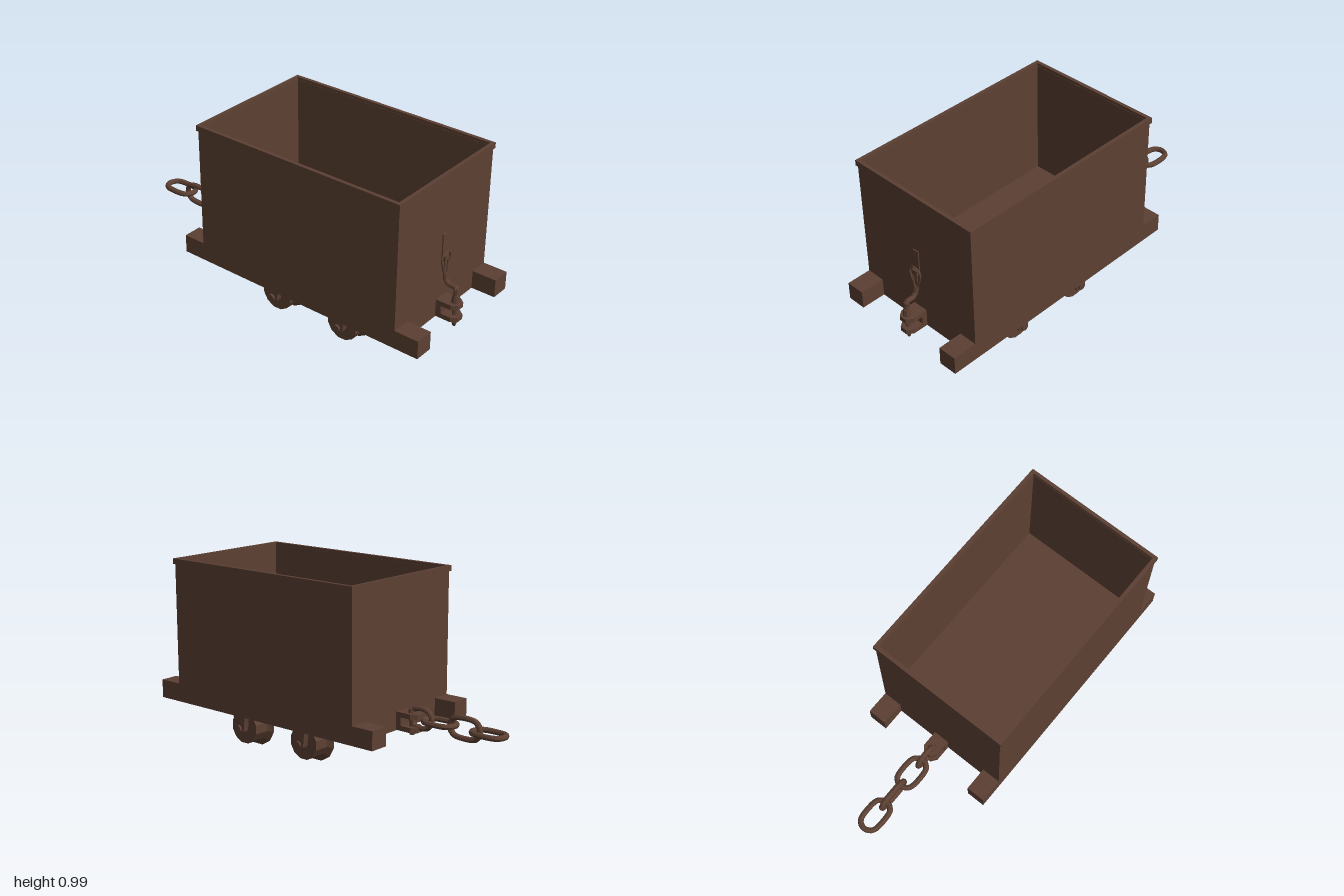
import * as THREE from 'three';

const brown = new THREE.MeshStandardMaterial({ color: 0x5c4033, flatShading: true });

function add(parent, name, geometry, x = 0, y = 0, z = 0) {
  const mesh = new THREE.Mesh(geometry, brown);
  mesh.name = name;
  mesh.position.set(x, y, z);
  parent.add(mesh);
  return mesh;
}

// Box given by its limits on each axis
function block(parent, name, x0, x1, y0, y1, z0, z1) {
  return add(parent, name, new THREE.BoxGeometry(x1 - x0, y1 - y0, z1 - z0),
    (x0 + x1) / 2, (y0 + y1) / 2, (z0 + z1) / 2);
}

function rectPath(path, x0, x1, z0, z1) {
  path.moveTo(x0, z0);
  path.lineTo(x1, z0);
  path.lineTo(x1, z1);
  path.lineTo(x0, z1);
  path.closePath();
  return path;
}

// Open rectangular frame, extruded upwards from y0 to y1
function hollow(parent, name, outer, inner, y0, y1) {
  const shape = rectPath(new THREE.Shape(), ...outer);
  shape.holes.push(rectPath(new THREE.Path(), ...inner));
  const geo = new THREE.ExtrudeGeometry(shape, { depth: y1 - y0, bevelEnabled: false });
  geo.rotateX(-Math.PI / 2);
  return add(parent, name, geo, 0, y0, 0);
}

// Chain link lying along x in the xy plane; ends may have different radii
function linkGeometry(length, rA, rB, wire) {
  const points = [];
  const ends = [[length / 2 - rA, rA, -Math.PI / 2], [-(length / 2 - rB), rB, Math.PI / 2]];
  for (const [cx, r, start] of ends) {
    for (let i = 0; i <= 6; i++) {
      const a = start + (i / 6) * Math.PI;
      points.push(new THREE.Vector3(cx + r * Math.cos(a), r * Math.sin(a), 0));
    }
  }
  return new THREE.TubeGeometry(new THREE.CatmullRomCurve3(points, true), 36, wire, 8, true);
}

function rod(parent, name, points, radius) {
  const curve = new THREE.CurvePath();
  const v = points.map(p => new THREE.Vector3(...p));
  for (let i = 1; i < v.length; i++) curve.add(new THREE.LineCurve3(v[i - 1], v[i]));
  return add(parent, name, new THREE.TubeGeometry(curve, (v.length - 1) * 5, radius, 8, false));
}

// Two chamfered jaws with a backing plate, pointing along +x from the origin
function makeClevis(length) {
  const clevis = new THREE.Group();
  const jaw = new THREE.Shape([[0, -0.043], [length - 0.03, -0.043], [length, -0.02],
    [length, 0.02], [length - 0.03, 0.043], [0, 0.043]].map(p => new THREE.Vector2(...p)));
  for (const y of [0.218, 0.288]) {
    const geo = new THREE.ExtrudeGeometry(jaw, { depth: 0.026, bevelEnabled: false });
    geo.rotateX(-Math.PI / 2);
    add(clevis, 'clevisJaw', geo, 0, y, 0);
  }
  block(clevis, 'clevisBack', 0, 0.03, 0.22, 0.31, -0.043, 0.043);
  return clevis;
}

function makeWheelSet() {
  const set = new THREE.Group();
  set.name = 'wheelSet';
  add(set, 'axle', new THREE.CylinderGeometry(0.02, 0.02, 0.665, 10).rotateX(Math.PI / 2));

  // Flange on the inner side, tread outside it
  const profile = [[0, 0.176], [0.119, 0.176], [0.119, 0.18], [0.092, 0.199], [0.09, 0.282], [0, 0.282]]
    .map(p => new THREE.Vector2(...p));
  const hanger = new THREE.Shape();
  hanger.moveTo(-0.045, 0.1);
  hanger.lineTo(-0.033, 0);
  hanger.absarc(0, 0, 0.033, Math.PI, Math.PI * 2, false);
  hanger.lineTo(0.045, 0.1);
  hanger.closePath();
  for (const side of [1, -1]) {
    const half = new THREE.Group();
    half.rotation.y = side > 0 ? 0 : Math.PI;
    add(half, 'wheel', new THREE.LatheGeometry(profile, 12).rotateX(Math.PI / 2).rotateZ(Math.PI / 12));
    add(half, 'axleHanger', new THREE.ExtrudeGeometry(hanger, { depth: 0.033, bevelEnabled: false, curveSegments: 6 }), 0, 0, 0.287);
    set.add(half);
  }
  return set;
}

export function createModel() {
  const cart = new THREE.Group();
  cart.name = 'mineCart';

  // Open tub with rim
  hollow(cart, 'tubWalls', [-0.362, 0.865, -0.385, 0.385], [-0.348, 0.851, -0.371, 0.371], 0.312, 0.985);
  block(cart, 'tubFloor', -0.355, 0.858, 0.313, 0.33, -0.378, 0.378);
  hollow(cart, 'tubRim', [-0.37, 0.872, -0.393, 0.393], [-0.35, 0.853, -0.373, 0.373], 0.97, 1.0);

  // Chassis
  for (const s of [1, -1]) {
    const z = [0.282 * s, 0.385 * s].sort((a, b) => a - b);
    block(cart, 'sideBeam', -0.49, 1.0, 0.215, 0.315, ...z);
  }
  block(cart, 'crossBeam', -0.362, -0.22, 0.215, 0.314, -0.283, 0.283);
  block(cart, 'crossBeam', 0.723, 0.865, 0.215, 0.314, -0.283, 0.283);

  // Wheels
  for (const x of [0.05, 0.475]) {
    const set = makeWheelSet();
    set.position.set(x, 0.122, 0);
    cart.add(set);
  }

  // Rear coupling with towing chain
  const rear = makeClevis(0.12);
  rear.name = 'rearClevis';
  rear.rotation.y = Math.PI;
  rear.position.x = -0.362;
  cart.add(rear);
  add(cart, 'rearPin', new THREE.CylinderGeometry(0.015, 0.015, 0.13, 8), -0.435, 0.265, 0);
  add(cart, 'rearPinHead', new THREE.CylinderGeometry(0.018, 0.024, 0.02, 8), -0.435, 0.324, 0);

  const chain = new THREE.Group();
  chain.name = 'towChain';
  cart.add(chain);
  [-0.895, -0.755, -0.605].forEach((x, i) => {
    const link = add(chain, 'chainLink', linkGeometry(0.178, 0.05, 0.05, 0.015), x, 0.292, 0);
    link.rotation.x = i % 2 ? 0 : Math.PI / 2;
  });
  add(chain, 'shackle', linkGeometry(0.13, 0.05, 0.05, 0.014), -0.49, 0.292, 0);

  // Front coupling with bent drop pin
  const front = makeClevis(0.117);
  front.name = 'frontClevis';
  front.position.x = 0.865;
  cart.add(front);
  add(cart, 'frontPin', new THREE.CylinderGeometry(0.014, 0.014, 0.2, 8), 0.95, 0.295, 0);
  add(cart, 'frontPinTip', new THREE.CylinderGeometry(0.014, 0.007, 0.02, 8), 0.95, 0.185, 0);
  rod(cart, 'pinHandle', [[0.95, 0.38, 0], [0.948, 0.397, 0], [0.905, 0.398, 0], [0.886, 0.42, 0], [0.882, 0.46, 0]], 0.013);
  add(cart, 'pinCollar', new THREE.CylinderGeometry(0.018, 0.022, 0.04, 8), 0.95, 0.333, 0);
  add(cart, 'handleEye', new THREE.TorusGeometry(0.013, 0.006, 6, 12).rotateY(Math.PI / 2), 0.95, 0.386, 0);

  // Strap and teardrop ring on the front wall
  block(cart, 'wallStrap', 0.86, 0.871, 0.53, 0.67, -0.018, 0.018);
  block(cart, 'strapHook', 0.865, 0.888, 0.53, 0.557, -0.018, 0.018);
  const ring = add(cart, 'hangingRing', linkGeometry(0.126, 0.037, 0.013, 0.005), 0.882, 0.51, 0);
  ring.rotation.set(0, Math.PI / 2, Math.PI / 2, 'YXZ');
  for (const s of [1, -1]) {
    rod(cart, 'ringStay', [[0.882, 0.445, 0.012 * s], [0.884, 0.55, 0.014 * s]], 0.004);
  }
  return cart;
}
